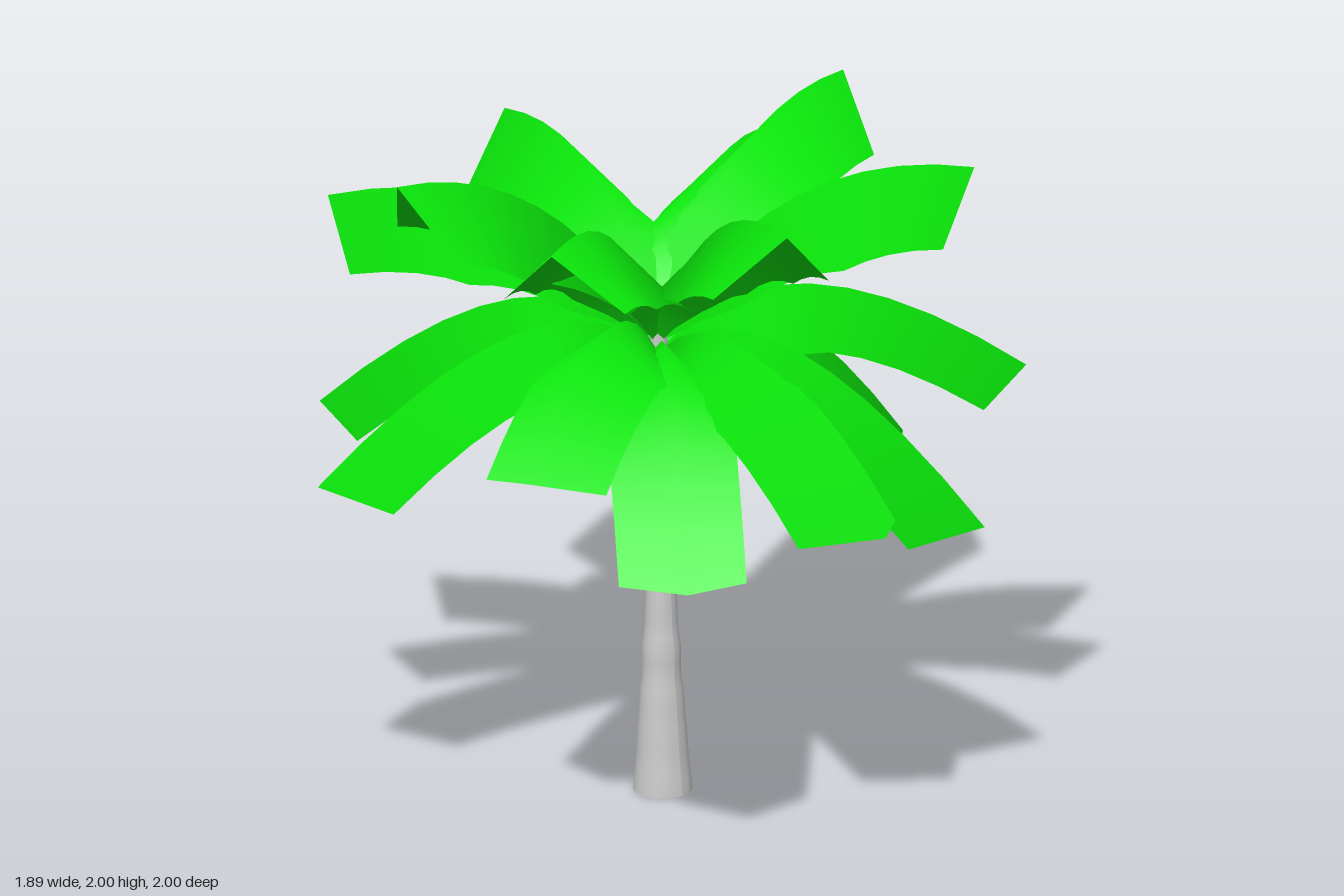
import * as THREE from 'three';

const green = new THREE.MeshStandardMaterial({ color: 0x0ae40a, side: THREE.DoubleSide });
const bark = new THREE.MeshStandardMaterial({ color: 0xcccccc, side: THREE.DoubleSide });

// Tip of each frond's ridge
const lowerTips = [
  [0, 1.05, 1.0], [0.51, 0.92, 0.85], [0.94, 1.23, 0.54], [0.94, 0.88, 0],
  [0.92, 1.05, -0.54], [0.37, 1.02, -0.99], [-0.54, 1.09, -0.86],
  [-0.95, 1.05, -0.4], [-0.93, 1.3, 0.49], [-0.6, 0.97, 0.82],
];
const upperTips = [
  [-0.23, 1.98, 0.83], [0.82, 1.84, 0.45], [0.93, 1.92, -0.25], [0.92, 1.67, -0.54],
  [0.29, 1.75, -1.0], [-0.43, 1.67, -0.95], [-0.83, 2.0, -0.19], [-0.79, 1.95, 0.44],
];

// Folded leaf: a V section swept along an arching ridge, ending in a blunt point
function frond([x, y, z], { rootY, rootWidth, rootDrop, tipDrop }) {
  const reach = Math.hypot(x, z);
  const out = new THREE.Vector3(x / reach, 0, z / reach);
  const side = new THREE.Vector3(out.z, 0, -out.x);
  const ridge = new THREE.QuadraticBezierCurve(
    new THREE.Vector2(0.01, rootY),
    new THREE.Vector2(0.35, 1.7 + 0.33 * (y - 1.05)),
    new THREE.Vector2(reach, y));
  const steps = 10, point = 0.095;
  const positions = [], normals = [], index = [];
  for (let i = 0; i <= steps; i++) {
    const t = i / steps;
    const p = ridge.getPoint(t), d = ridge.getTangent(t);
    const drop = THREE.MathUtils.lerp(rootDrop, tipDrop, Math.min(1, t / 0.6));
    const halfWidth = THREE.MathUtils.lerp(rootWidth, 0.185, Math.min(1, t / 0.2));
    for (const u of [-1, 0, 1]) {
      const a = Math.abs(u);
      const r = p.x + a * (d.y * drop - d.x * point * t);
      const h = p.y - a * (d.x * drop + d.y * point * t);
      const v = out.clone().multiplyScalar(r).addScaledVector(side, u * halfWidth);
      positions.push(v.x, h, v.z);
      // Shade the fold softly, following the ridge
      normals.push(-out.x * d.y, d.x, -out.z * d.y);
    }
    if (i < steps) {
      for (let k = 0; k < 2; k++) {
        const a = i * 3 + k;
        index.push(a, a + 3, a + 1, a + 1, a + 3, a + 4);
      }
    }
  }
  const geometry = new THREE.BufferGeometry();
  geometry.setAttribute('position', new THREE.Float32BufferAttribute(positions, 3));
  geometry.setAttribute('normal', new THREE.Float32BufferAttribute(normals, 3));
  geometry.setIndex(index);
  return new THREE.Mesh(geometry, green);
}

// Open tapered trunk with a flared foot, uneven rings and a slight lean
function trunk() {
  const height = 1.43;
  const geometry = new THREE.CylinderGeometry(1, 1, height, 20, 36, true);
  geometry.translate(0, height / 2, 0);
  const pos = geometry.attributes.position;
  for (let i = 0; i < pos.count; i++) {
    const y = pos.getY(i), t = y / height;
    const bump = 1 + (0.04 * Math.sin(y * 47) + 0.03 * Math.sin(y * 29 + 1)) * Math.sin(t * Math.PI);
    const r = (0.026 + 0.06 * Math.pow(1 - t, 2.1)) * bump;
    pos.setXYZ(i, pos.getX(i) * r + 0.025 - 0.017 * t, y, pos.getZ(i) * r - 0.005);
  }
  geometry.computeVertexNormals();
  const mesh = new THREE.Mesh(geometry, bark);
  mesh.name = 'trunk';
  return mesh;
}

export function createModel() {
  const model = new THREE.Group();
  model.name = 'palmTree';
  model.add(trunk());
  const tiers = [
    ['lowerFronds', lowerTips, { rootY: 1.35, rootWidth: 0.185, rootDrop: 0.2, tipDrop: 0.145 }],
    ['upperFronds', upperTips, { rootY: 1.41, rootWidth: 0.03, rootDrop: 0.02, tipDrop: 0.2 }],
  ];
  for (const [name, tips, shape] of tiers) {
    const crown = new THREE.Group();
    crown.name = name;
    tips.forEach((tip, i) => {
      const leaf = frond(tip, shape);
      leaf.name = `frond${i + 1}`;
      crown.add(leaf);
    });
    model.add(crown);
  }
  return model;
}
